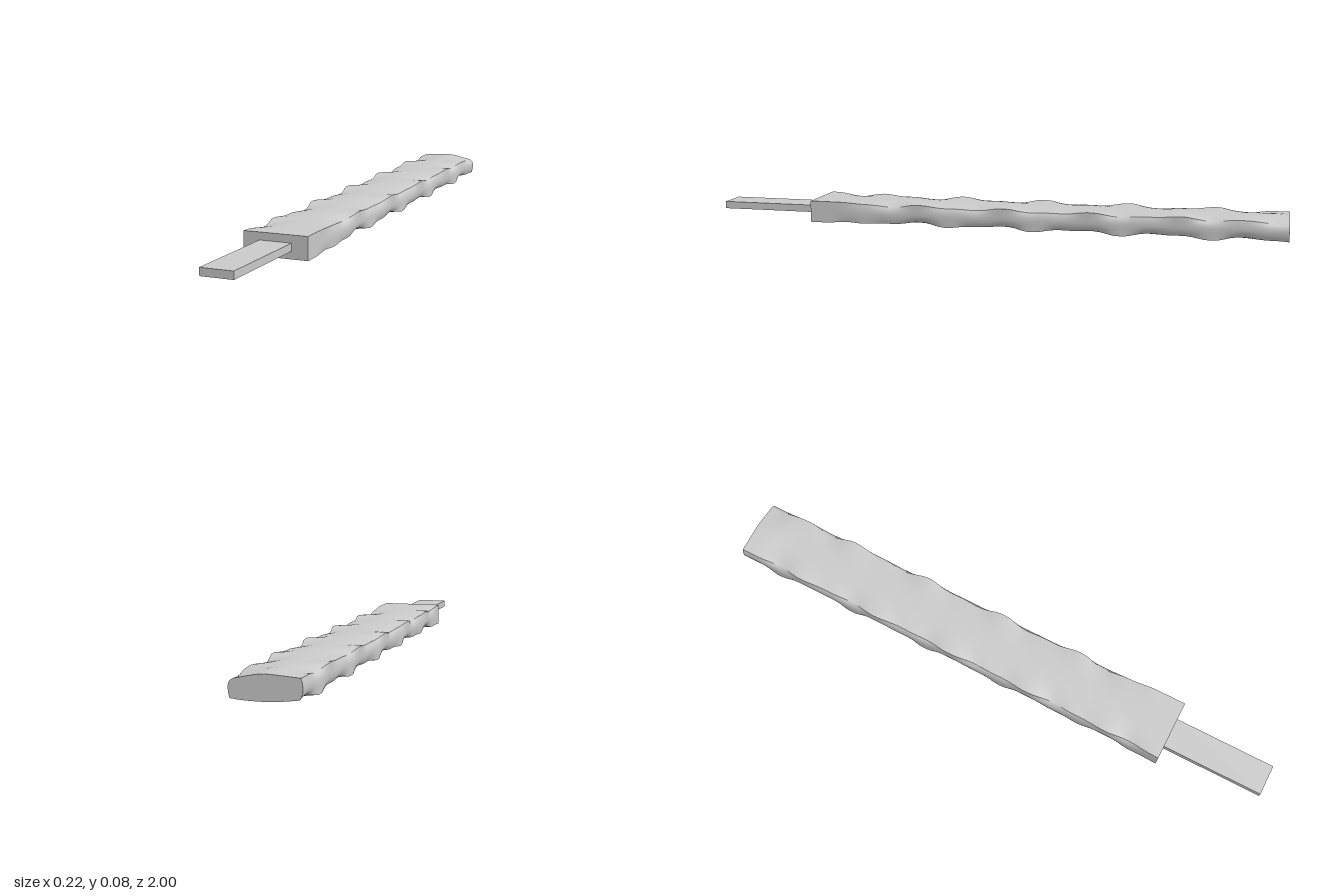
import * as THREE from 'three';

const HALF_W = 0.108, HEIGHT = 0.075, BACK = -1, SHOULDER = 0.645, TIP = 1;

// Depth of wear along one long corner; each corner gets its own phase
function wear(z, phase) {
  const fade = THREE.MathUtils.smoothstep(SHOULDER - z, 0, 0.22);
  const wave = 0.5 + 0.36 * Math.sin(z * 22 + phase) + 0.2 * Math.sin(z * 41 + phase * 2.3);
  return 0.014 * fade * Math.max(0, wave);
}

// A beam whose four long corners are worn back diagonally in soft waves
function wornBeam() {
  const length = SHOULDER - BACK;
  const geo = new THREE.BoxGeometry(HALF_W * 2, HEIGHT, length, 12, 6, 90);
  geo.translate(0, HEIGHT / 2, (SHOULDER + BACK) / 2);
  const pos = geo.attributes.position;
  for (let i = 0; i < pos.count; i++) {
    const x = pos.getX(i), y = pos.getY(i), z = pos.getZ(i);
    const u = x / HALF_W, v = (y - HEIGHT / 2) / (HEIGHT / 2);
    const sx = Math.sign(u), sy = Math.sign(v);
    const weight = Math.pow(Math.abs(u), 1.8) * Math.pow(Math.abs(v), 1.8);
    let d = wear(z + 0.04 * u, sx * 1.1 + sy * 1.9 + 2);
    // Deeper chip in the upper left corner at the back end
    if (sx > 0 && sy > 0) d += 0.013 * Math.exp(-(((z + 0.96) / 0.05) ** 2));
    // Slight rise in the middle of the top near the back
    const rise = v > 0 ? 0.004 * v * Math.exp(-((u / 0.35) ** 2) - ((z + 0.94) / 0.06) ** 2) : 0;
    pos.setXYZ(i, x - sx * d * weight, y - sy * d * weight + rise, z);
  }
  geo.computeVertexNormals();
  return geo;
}

export function createModel() {
  const group = new THREE.Group();
  group.name = 'tenonedBeam';
  const material = new THREE.MeshStandardMaterial({ color: 0xcccccc });

  const beam = new THREE.Mesh(wornBeam(), material);
  beam.name = 'beam';

  // Flat tongue projecting from the clean front end
  const tenon = new THREE.Mesh(new THREE.BoxGeometry(HALF_W, 0.025, TIP - SHOULDER), material);
  tenon.position.set(0, HEIGHT / 2, (TIP + SHOULDER) / 2);
  tenon.name = 'tenon';

  group.add(beam, tenon);
  return group;
}
